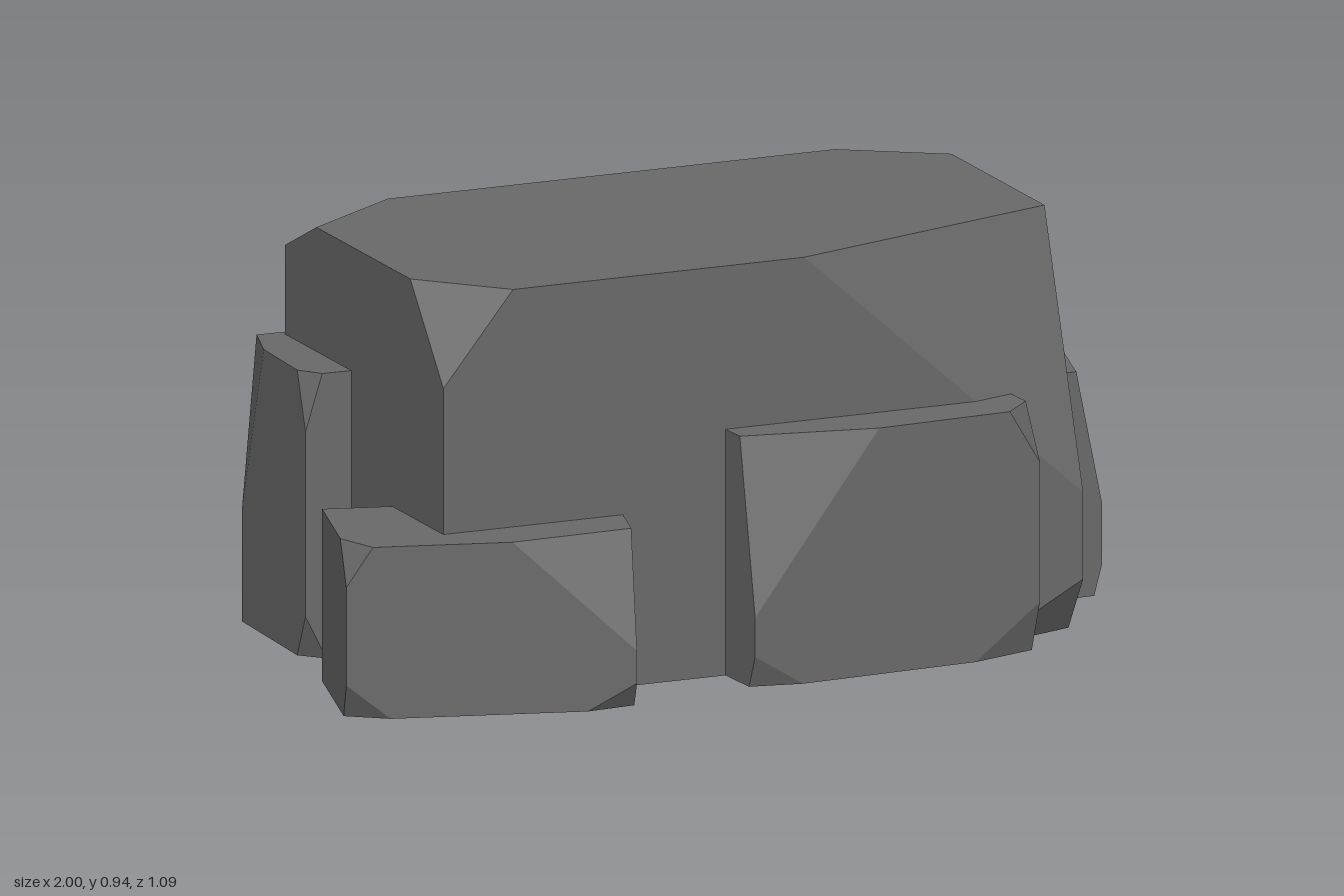
import * as THREE from 'three';
import { ConvexGeometry } from 'three/addons/geometries/ConvexGeometry.js';

const stone = new THREE.MeshStandardMaterial({ color: 0x696969 });
stone.name = 'grey stone';

// A box standing on y = 0 whose corners are sliced off.
// cuts: keys such as '+-+' (signs of x, y, z) give the cut lengths along x, y, z.
// A y length of 0 carries the slice on down the vertical edge.
function chippedBlock(name, [w, h, d], [x, z], turn, cuts) {
  const points = [];
  for (const sx of [1, -1]) for (const sy of [1, -1]) for (const sz of [1, -1]) {
    const key = [sx, sy, sz].map((s) => (s > 0 ? '+' : '-')).join('');
    const corner = new THREE.Vector3(sx * w / 2, sy > 0 ? h : 0, sz * d / 2);
    const cut = cuts[key];
    if (!cut) {
      points.push(corner);
      continue;
    }
    [sx, sy, sz].forEach((sign, axis) => {
      if (cut[axis] === 0) return;
      const p = corner.clone();
      p.setComponent(axis, p.getComponent(axis) - sign * cut[axis]);
      points.push(p);
    });
  }
  const mesh = new THREE.Mesh(new ConvexGeometry(points), stone);
  mesh.name = name;
  mesh.position.set(x, 0, z);
  mesh.rotation.y = turn;
  return mesh;
}

export function createModel() {
  const group = new THREE.Group();
  group.name = 'rockCluster';
  group.add(
    // large central boulder
    chippedBlock('mainBoulder', [1.56, 0.94, 0.86], [0.03, -0.09], 0, {
      '+++': [0.68, 0.61, 0.21],
      '++-': [0.22, 0, 0.145],
      '+--': [0.05, 0, 0.035],
      '-++': [0.17, 0.21, 0.18],
      '-+-': [0.25, 0.08, 0.17],
      '+-+': [0.24, 0.13, 0.08],
    }),
    // smaller rocks leaning around it
    chippedBlock('leftRock', [0.4, 0.52, 0.456], [0.785, -0.194], 0.066, {
      '+++': [0.065, 0.31, 0.19],
      '++-': [0.055, 0.12, 0.045],
      '+-+': [0.02, 0.07, 0.08],
      '+--': [0.06, 0.11, 0.075],
    }),
    chippedBlock('frontLeftRock', [0.711, 0.565, 0.25], [0.294, 0.343], 0.049, {
      '-++': [0.31, 0.4, 0.075],
      '+++': [0.075, 0.125, 0.07],
      '--+': [0.12, 0.075, 0.03],
      '+-+': [0.16, 0.12, 0.04],
      '++-': [0.18, 0.3, 0.1],
    }),
    chippedBlock('frontRightRock', [0.654, 0.395, 0.36], [-0.635, 0.28], -0.271, {
      '+++': [0.28, 0.26, 0.085],
      '+-+': [0.11, 0.06, 0.04],
      '-++': [0.06, 0.09, 0.09],
      '--+': [0.1, 0.08, 0.04],
    }),
    chippedBlock('backRightRock', [0.19, 0.655, 0.38], [-0.757, -0.351], -0.04, {
      '-+-': [0.035, 0.4, 0.13],
      '-++': [0.04, 0.13, 0.05],
      '--+': [0.05, 0.1, 0.05],
      '++-': [0.02, 0.08, 0.02],
    }),
  );
  return group;
}
